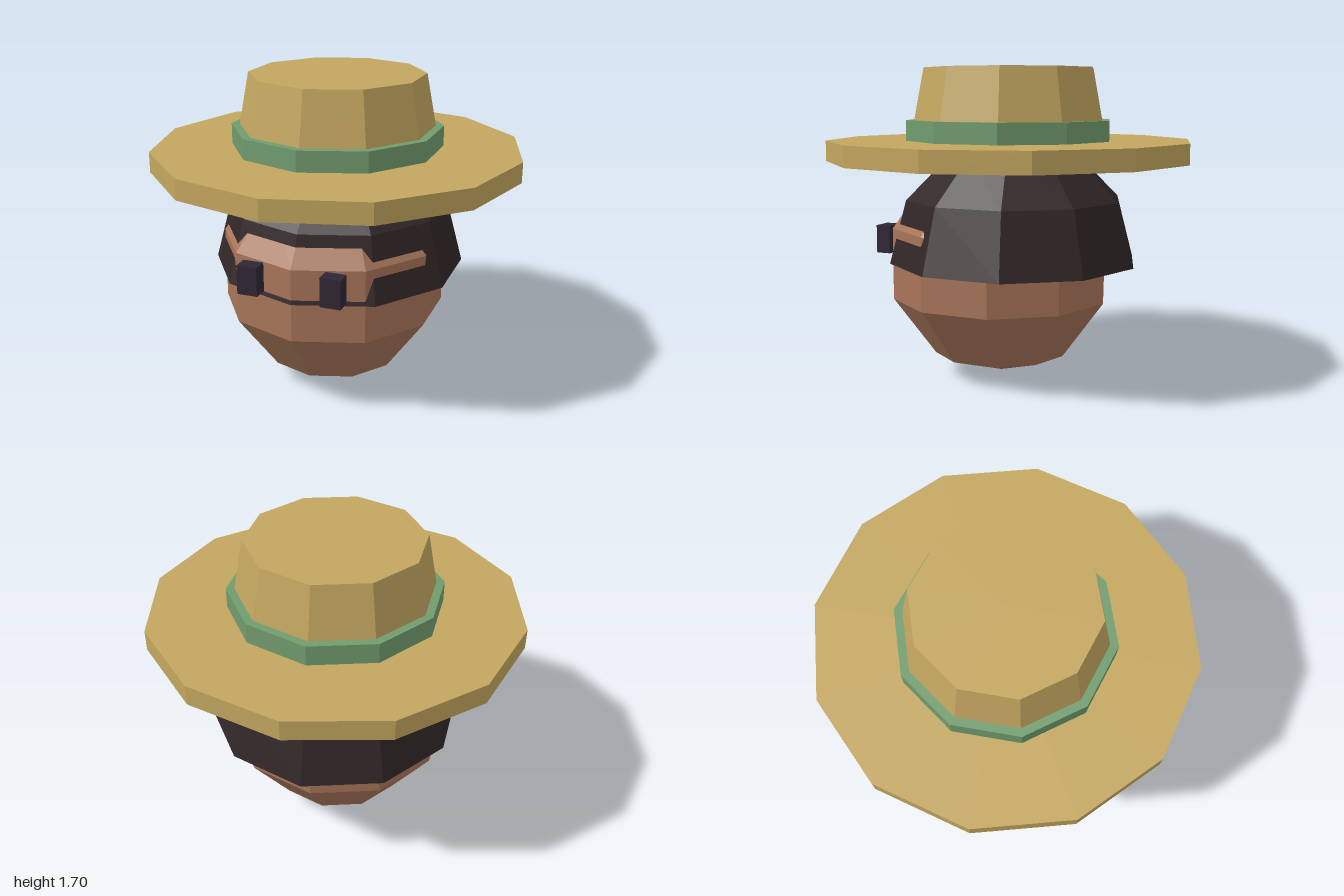
import * as THREE from 'three';

const material = (name, color) => {
  const m = new THREE.MeshStandardMaterial({ color, flatShading: true });
  m.name = name;
  return m;
};

export function createModel() {
  const skin = material('skin', 0xa87559);
  const hair = material('hair', 0x312627);
  const straw = material('straw', 0xc3a65f);
  const ribbon = material('ribbon', 0x719c6e);
  const eye = material('eye', 0x302634);

  const group = new THREE.Group();
  group.name = 'hattedHead';

  const add = (name, geometry, mat, x = 0, y = 0, z = 0) => {
    const mesh = new THREE.Mesh(geometry, mat);
    mesh.name = name;
    mesh.position.set(x, y, z);
    group.add(mesh);
    return mesh;
  };

  // Faceted solid of revolution from [radius, height] pairs, bottom to top
  const faceted = (profile, sides) =>
    new THREE.LatheGeometry(profile.map(([r, y]) => new THREE.Vector2(r, y)), sides);

  // Arc of a ball as a profile, between two angles above the equator
  const arc = (radius, from, to, steps) => Array.from({ length: steps + 1 }, (_, i) => {
    const a = THREE.MathUtils.degToRad(from + (to - from) * i / steps);
    return [Math.max(0, radius * Math.cos(a)), radius * Math.sin(a)];
  });

  // Head: low-poly ball, standing on its lower pole
  add('head', faceted(arc(0.635, -90, 90, 5), 10), skin, 0, 0.635, 0.055);

  // Hair: half ball with a closed underside; the face pokes through its front
  add('hair', faceted([[0, 0], ...arc(0.69, 0, 90, 3)], 10), hair, 0, 0.645, -0.025);

  // Eyes: small blocks on the face
  for (const side of [-1, 1]) {
    add(side > 0 ? 'leftEye' : 'rightEye',
      new THREE.BoxGeometry(0.11, 0.155, 0.083), eye, side * 0.224, 0.753, 0.654);
  }

  // Hat: twelve-sided brim, ten-sided ribbon and tapered crown
  add('hatBrim', new THREE.CylinderGeometry(1, 1, 0.11, 12), straw, 0, 1.255, 0);
  add('hatRibbon', new THREE.CylinderGeometry(0.57, 0.57, 0.12, 10), ribbon, 0, 1.36, 0);
  add('hatCrown', new THREE.CylinderGeometry(0.472, 0.547, 0.39, 10), straw, 0, 1.505, 0);

  return group;
}
